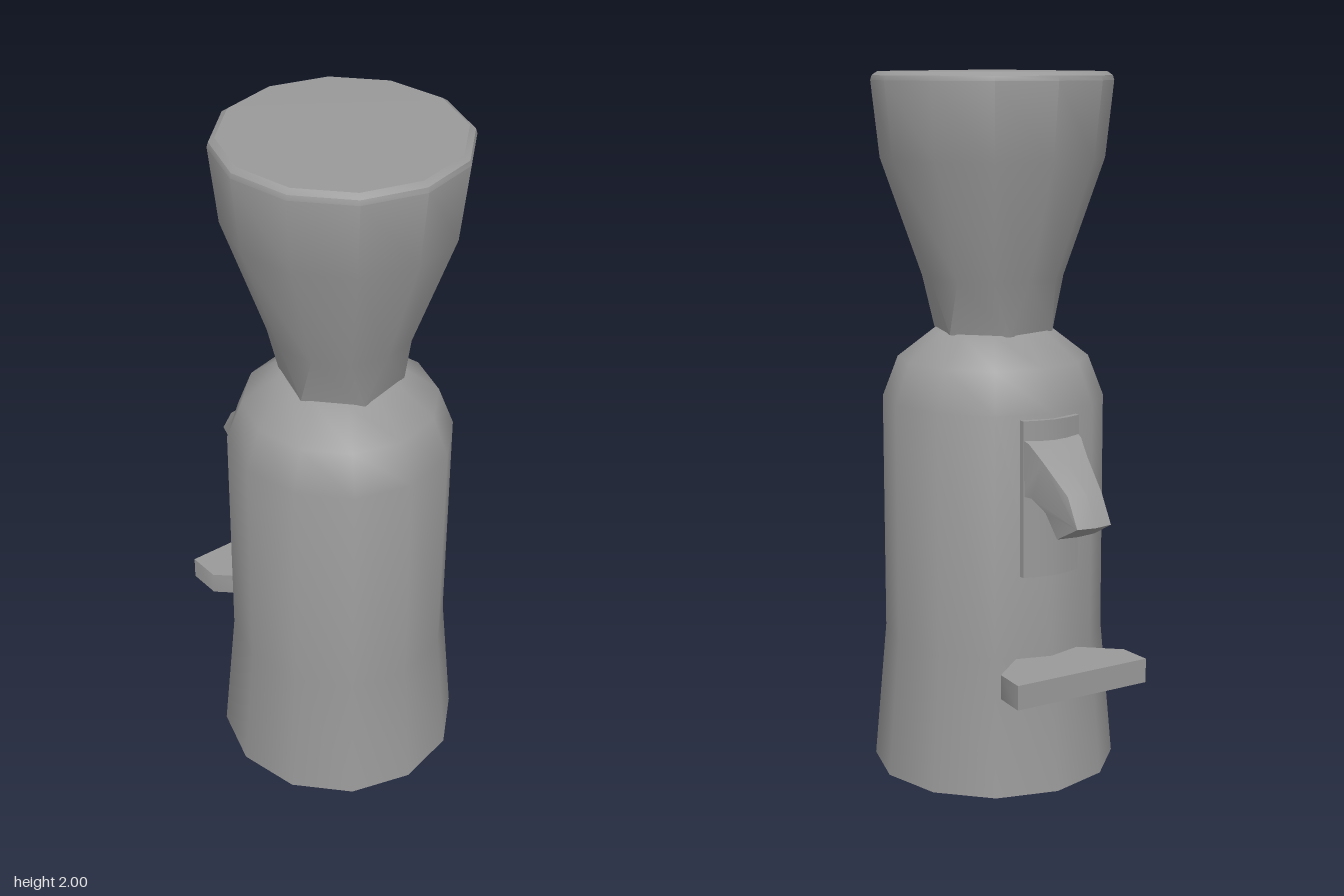
import * as THREE from 'three';
import { toCreasedNormals } from 'three/addons/utils/BufferGeometryUtils.js';

const BODY_Z = 0.088; // axis of the turned parts

export function createModel() {
  const group = new THREE.Group();
  const material = new THREE.MeshStandardMaterial({ color: 0x999999 });

  const add = (name, geometry, crease) => {
    const mesh = new THREE.Mesh(toCreasedNormals(geometry, crease), material);
    mesh.name = name;
    group.add(mesh);
    return mesh;
  };
  const v2 = ([x, y]) => new THREE.Vector2(x, y);
  const lathe = (profile) => new THREE.LatheGeometry(profile.map(v2), 12);
  const extrude = (points, depth, steps = 1) =>
    new THREE.ExtrudeGeometry(new THREE.Shape(points.map(v2)), { depth, steps, bevelEnabled: false });
  // Outline as [distance behind centre, height], extruded across x
  const sideExtrude = (points, width, steps) =>
    extrude(points, width, steps).translate(0, 0, -width / 2).rotateY(Math.PI / 2);
  // Outline as [x, distance behind centre], extruded upwards from y
  const flatExtrude = (points, y, height) =>
    extrude(points, height).rotateX(-Math.PI / 2).translate(0, y, 0);

  // Main vessel with flared foot and rounded shoulder
  const body = lathe([[0, 0], [0.352, 0], [0.316, 0.4], [0.316, 1.085], [0.272, 1.2], [0.168, 1.28], [0, 1.28]]);
  add('body', body, 0.7).position.z = BODY_Z;

  // Flared cup with a bevelled rim and flat lid
  const cup = lathe([[0, 1.277], [0.173, 1.277], [0.2, 1.43], [0.315, 1.76], [0.338, 1.972], [0.334, 1.985], [0.318, 1.996], [0, 2]]);
  // Its foot has six sides: pairs of neighbouring corners merge
  const c = cup.attributes.position;
  for (let i = 0; i < c.count; i++) {
    const r = Math.hypot(c.getX(i), c.getZ(i));
    if (c.getY(i) > 1.3 || r < 0.01) continue;
    const degrees = THREE.MathUtils.radToDeg(Math.atan2(c.getX(i), c.getZ(i)));
    const a = THREE.MathUtils.degToRad(Math.floor((degrees + 30.5) / 60) * 60 - 15);
    c.setXYZ(i, r * Math.sin(a), c.getY(i), r * Math.cos(a));
  }
  add('cup', cup, 0.6).position.z = BODY_Z;

  // Thin bent plate against the back of the body
  add('backPlate', flatExtrude(
    [[-0.09, 0.19], [0.09, 0.19], [0.09, 0.221], [0.045, 0.234], [0, 0.24], [-0.045, 0.234], [-0.09, 0.221]],
    0.63, 0.44), 0.6);

  // Downturned hook, tapering away from the plate, slightly ridged along the middle
  const hook = sideExtrude(
    [[0.21, 0.86], [0.25, 0.86], [0.3, 0.83], [0.345, 0.765], [0.432, 0.81], [0.386, 0.89], [0.29, 0.968], [0.24, 1.01], [0.21, 1.02]], 2, 2);
  const p = hook.attributes.position;
  for (let i = 0; i < p.count; i++) {
    const t = THREE.MathUtils.clamp((-p.getZ(i) - 0.23) / 0.155, 0, 1);
    const side = p.getX(i);
    p.setX(i, side * THREE.MathUtils.lerp(0.09, 0.054, Math.pow(t, 0.7)));
    p.setZ(i, p.getZ(i) - 0.009 * (1 - Math.abs(side)));
  }
  add('hook', hook, 0.4);

  // Small shelf lower down, widening outward
  add('shelf', flatExtrude(
    [[-0.1, 0.2], [0.1, 0.2], [0.204, 0.29], [0.21, 0.387], [-0.21, 0.387], [-0.204, 0.29]],
    0.323, 0.069), 0.9);

  // Wedge bracket under the shelf
  add('shelfBracket', sideExtrude([[0.2, 0.24], [0.23, 0.257], [0.34, 0.328], [0.2, 0.328]], 0.05), 0.4);

  return group;
}
